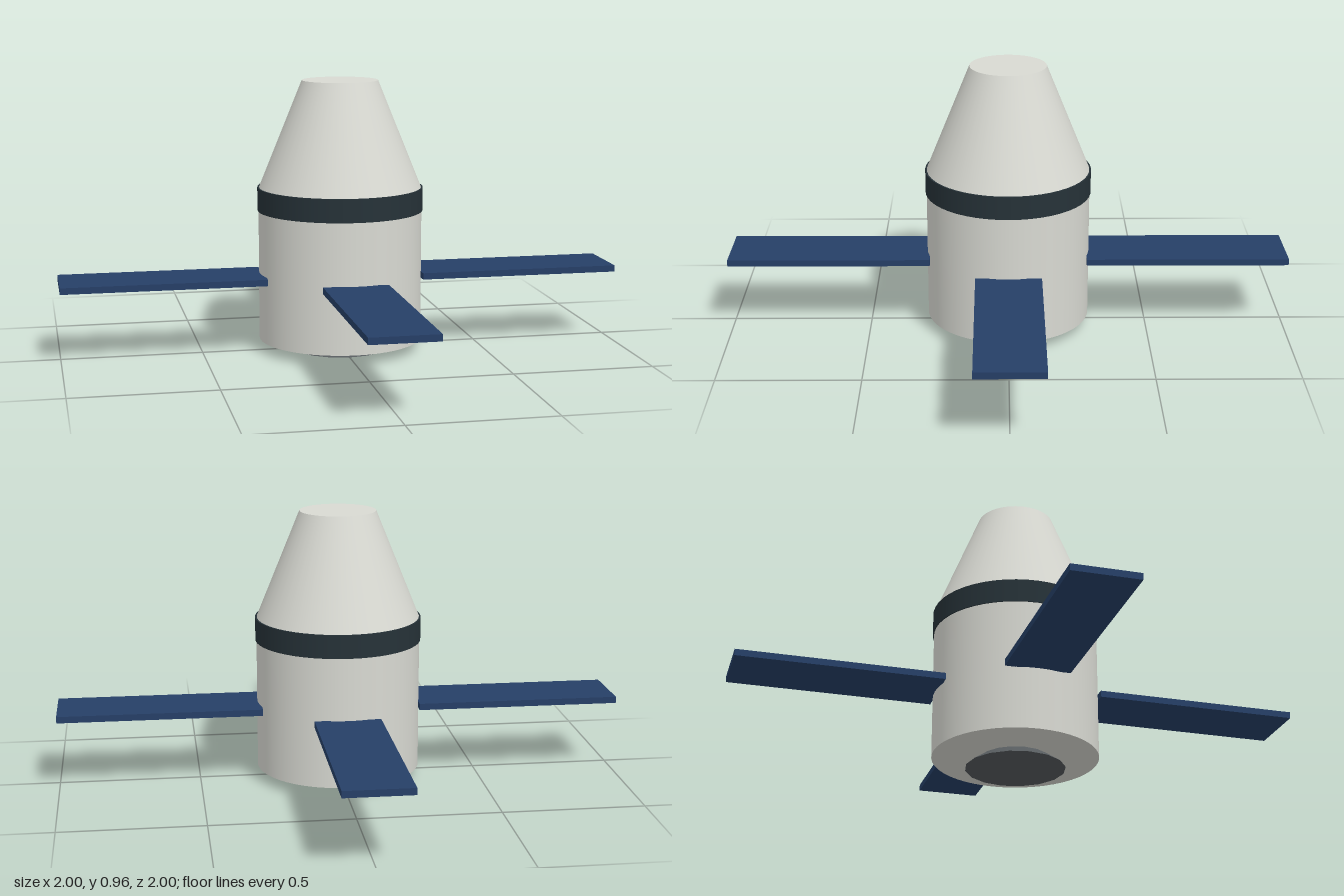
import * as THREE from 'three';

export function createModel() {
  const model = new THREE.Group();
  model.name = 'spacecraft';

  const paint = (name, color) => {
    const material = new THREE.MeshStandardMaterial({ color });
    material.name = name;
    return material;
  };
  const hullWhite = paint('hullWhite', 0xd8d9d2);
  const bandDark = paint('bandDark', 0x263238);
  const panelBlue = paint('panelBlue', 0x263f67);
  const nozzleGrey = paint('nozzleGrey', 0x555a5d);

  // Upright round part between two heights
  const round = (name, material, y0, y1, r0, r1, sides = 48) => {
    const mesh = new THREE.Mesh(new THREE.CylinderGeometry(r1, r0, y1 - y0, sides), material);
    mesh.name = name;
    mesh.position.y = (y0 + y1) / 2;
    model.add(mesh);
  };

  round('serviceModule', hullWhite, 0.037, 0.51, 0.291, 0.291);
  round('separationBand', bandDark, 0.502, 0.585, 0.295, 0.295);
  round('crewCapsule', hullWhite, 0.58, 0.965, 0.291, 0.135);
  round('engineNozzle', nozzleGrey, 0, 0.06, 0.175, 0.087, 16);

  // Four solar panels around the hull
  for (let i = 0; i < 4; i++) {
    const pivot = new THREE.Group();
    pivot.name = `solarPanel${i + 1}`;
    pivot.rotation.y = (i * Math.PI) / 2;
    const panel = new THREE.Mesh(new THREE.BoxGeometry(0.72, 0.023, 0.232), panelBlue);
    panel.name = 'panel';
    panel.position.set(0.64, 0.268, 0);
    pivot.add(panel);
    model.add(pivot);
  }

  return model;
}
